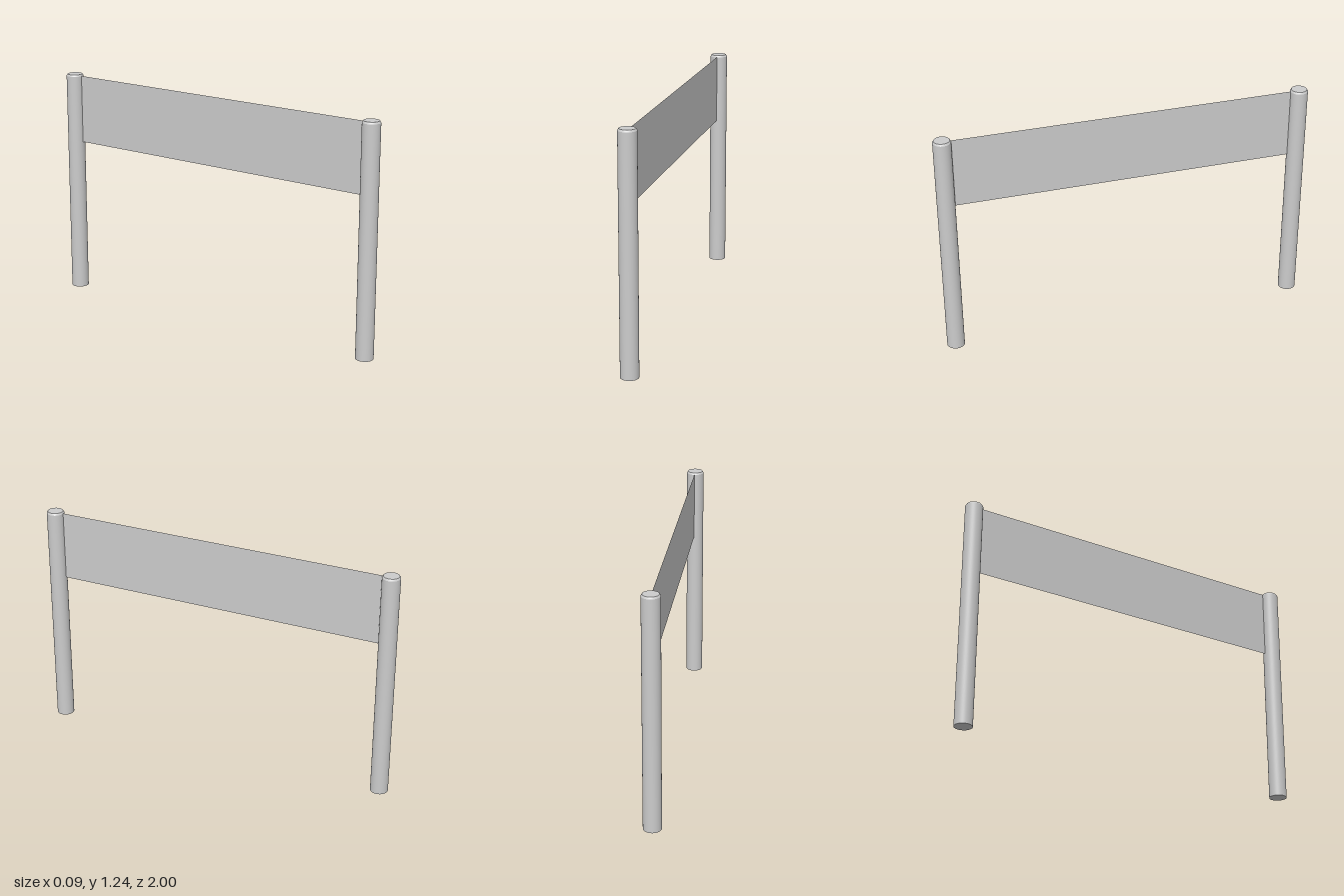
import * as THREE from 'three';

const POST_R = 0.047, POST_Z = 0.953;
const SHOULDER = 1.226, TOP = 1.236, TOP_R = 0.041;
const PANEL_BOTTOM = 0.853, PANEL_TOP = 1.228;

export function createModel() {
  const model = new THREE.Group();
  const grey = new THREE.MeshStandardMaterial({ color: 0xcccccc });
  const sheet = new THREE.MeshStandardMaterial({ color: 0xcccccc, side: THREE.DoubleSide });

  const add = (parent, name, geometry, material, y) => {
    const mesh = new THREE.Mesh(geometry, material);
    mesh.name = name;
    mesh.position.y = y;
    parent.add(mesh);
    return mesh;
  };

  // Round posts: smooth shaft, chamfered rim, flat ends
  for (const [name, side] of [['frontPost', 1], ['backPost', -1]]) {
    const post = new THREE.Group();
    post.name = name;
    post.position.z = side * POST_Z;
    add(post, 'shaft', new THREE.CylinderGeometry(POST_R, POST_R, SHOULDER, 48, 1, true), grey, SHOULDER / 2);
    add(post, 'chamfer', new THREE.CylinderGeometry(TOP_R, POST_R, TOP - SHOULDER, 48, 1, true), grey, (TOP + SHOULDER) / 2);
    add(post, 'topCap', new THREE.CircleGeometry(TOP_R, 48).rotateX(-Math.PI / 2), grey, TOP);
    add(post, 'bottomCap', new THREE.CircleGeometry(POST_R, 48).rotateX(Math.PI / 2), grey, 0);
    model.add(post);
  }

  // Thin sheet stretched between the inner faces of the posts
  const panel = new THREE.PlaneGeometry(2 * (POST_Z - POST_R), PANEL_TOP - PANEL_BOTTOM).rotateY(Math.PI / 2);
  add(model, 'panel', panel, sheet, (PANEL_TOP + PANEL_BOTTOM) / 2);

  return model;
}
